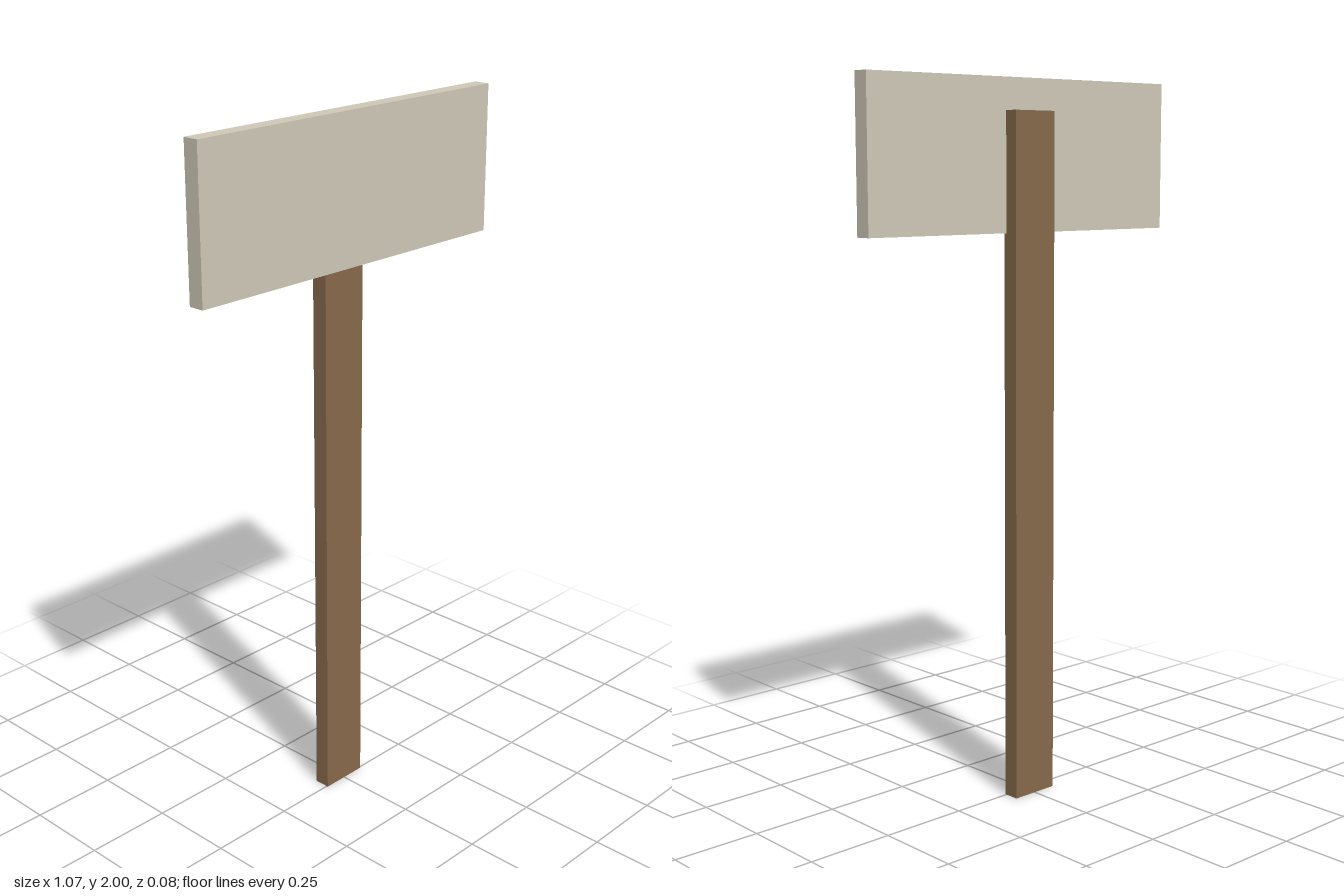
import * as THREE from 'three';

// Box mesh given by its lower and upper corners
function plank(name, min, max, color) {
  const size = max.map((v, i) => v - min[i]);
  const mesh = new THREE.Mesh(
    new THREE.BoxGeometry(...size),
    new THREE.MeshStandardMaterial({ color })
  );
  mesh.position.set(...max.map((v, i) => (v + min[i]) / 2));
  mesh.name = name;
  return mesh;
}

export function createModel() {
  const group = new THREE.Group();
  group.name = 'signpost';
  // Wooden post, set slightly into the back of the board
  group.add(plank('post', [-0.071, 0, -0.042], [0.071, 1.913, 0.004], 0x876a4c));
  // Blank sign board on the front of the post
  group.add(plank('signBoard', [-0.537, 1.588, -0.004], [0.537, 2, 0.042], 0xd0c9b8));
  return group;
}
